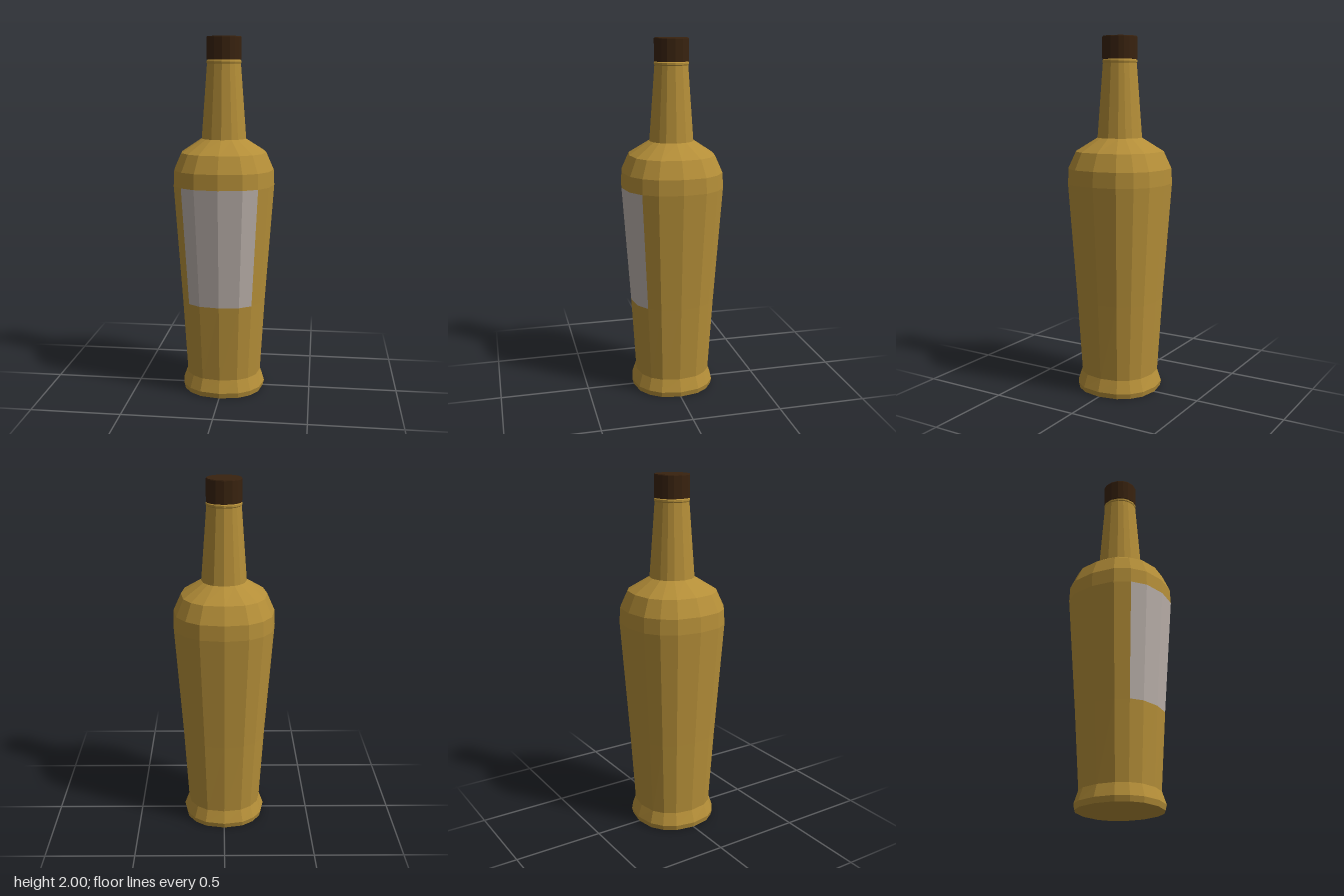
import * as THREE from 'three';

const glass = new THREE.MeshStandardMaterial({ color: 0xb48e38 });
glass.name = 'amber glass';
const paper = new THREE.MeshStandardMaterial({ color: 0xbab0aa });
paper.name = 'label paper';
const capBrown = new THREE.MeshStandardMaterial({ color: 0x38220f });
capBrown.name = 'cap brown';

// Sixteen unevenly spaced corners, measured from the front (+z) towards +x
const SIDES = 16;
const QUARTER = [0, 26.6, 45, 63.4];
const angleAt = i => ((QUARTER[((i % 4) + 4) % 4] + 90 * Math.floor(i / 4)) * Math.PI) / 180;

// Corner i of a ring [y, radius, squareness]; squareness bulges the diagonals
function corner([y, radius, square], i) {
  const a = angleAt(i);
  const r = radius * (1 + 0.045 * square * Math.abs(Math.sin(2 * a)));
  return [r * Math.sin(a), y, r * Math.cos(a)];
}

// Flat-faceted skin over a list of rings, from corner `from` to corner `to`
function skin(name, rings, material, from = 0, to = SIDES) {
  const pos = [];
  for (let k = 0; k < rings.length - 1; k++) {
    const [lo, hi] = [rings[k], rings[k + 1]];
    for (let i = from; i < to; i++) {
      const a = corner(lo, i), b = corner(lo, i + 1);
      const c = corner(hi, i + 1), d = corner(hi, i);
      if (lo[1] > 0) pos.push(...a, ...b, ...c);
      if (hi[1] > 0) pos.push(...a, ...c, ...d);
      else if (lo[1] > 0) continue;
      else pos.push(...a, ...c, ...d);
    }
  }
  const geometry = new THREE.BufferGeometry();
  geometry.setAttribute('position', new THREE.Float32BufferAttribute(pos, 3));
  geometry.computeVertexNormals();
  const mesh = new THREE.Mesh(geometry, material);
  mesh.name = name;
  return mesh;
}

export function createModel() {
  const group = new THREE.Group();
  group.name = 'bottle';

  // Flared foot and lower body
  const labelBottom = [0.53, 0.237, 1];
  const labelTop = [1.19, 0.284, 1];
  group.add(skin('foot', [[0, 0, 1], [0, 0.23, 0.6], [0.03, 0.237, 0.6], [0.1, 0.212, 0.8]], glass));
  group.add(skin('lowerBody', [[0.1, 0.212, 0.8], labelBottom], glass));

  // Middle band: the label wraps the front quarter, glass fills the rest
  group.add(skin('label', [labelBottom, labelTop], paper, -2, 2));
  group.add(skin('middleBody', [labelBottom, labelTop], glass, 2, 14));

  // Rounded shoulder and tapering neck
  group.add(skin('shoulder', [labelTop, [1.275, 0.28, 1], [1.37, 0.238, 1], [1.445, 0.125, 0]], glass));
  group.add(skin('neck', [[1.445, 0.125, 0], [1.855, 0.094, 0]], glass));
  group.add(skin('neckCollar', [[1.855, 0.094, 0], [1.86, 0.097, 0], [1.87, 0.097, 0], [1.875, 0.09, 0]], glass));

  // Screw cap
  group.add(skin('cap', [[1.875, 0, 0], [1.875, 0.096, 0.3], [1.995, 0.096, 0.3], [2, 0.094, 0.3], [2, 0, 0]], capBrown));
  return group;
}
